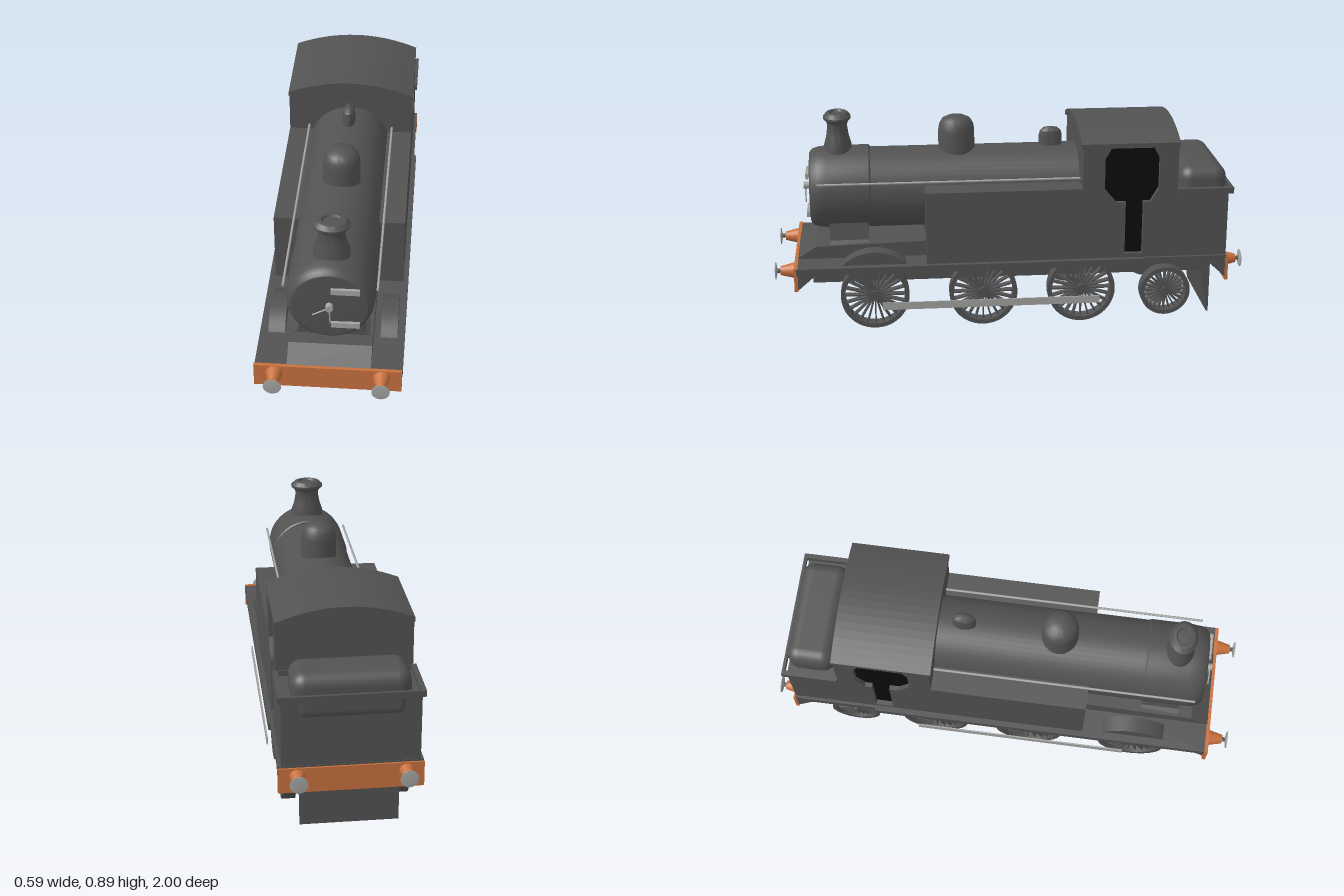
import * as THREE from 'three';
import { toCreasedNormals } from 'three/addons/utils/BufferGeometryUtils.js';
import { RoundedBoxGeometry } from 'three/addons/geometries/RoundedBoxGeometry.js';

const flat = (name, color) => Object.assign(new THREE.MeshStandardMaterial({ color }), { name });
const charcoal = flat('charcoal', 0x525252);
const black = flat('black', 0x0c0c0c);
const orange = flat('orange', 0xc8703e);
const steel = flat('steel', 0xa4a4a2);

export function createModel() {
  const model = new THREE.Group();
  model.name = 'tankLocomotive';
  const body = new THREE.Group();
  body.name = 'body';
  body.position.x = 0.003;
  model.add(body);

  const add = (name, geo, mat = charcoal, parent = body) => {
    const mesh = new THREE.Mesh(geo, mat);
    mesh.name = name;
    parent.add(mesh);
    return mesh;
  };
  // Box given by its limits on each axis
  const box = (name, [x0, x1], [y0, y1], [z0, z1], mat, parent) => {
    const m = add(name, new THREE.BoxGeometry(x1 - x0, y1 - y0, z1 - z0), mat, parent);
    m.position.set((x0 + x1) / 2, (y0 + y1) / 2, (z0 + z1) / 2);
    return m;
  };
  const toShape = pts => new THREE.Shape(pts.map(p => new THREE.Vector2(...p)));
  const extrude = (shape, depth) =>
    new THREE.ExtrudeGeometry(shape, { depth, bevelEnabled: false, curveSegments: 20 });
  // Profile in (z, y), extruded from x0 to x1
  const sidePlate = (name, shape, x0, x1, mat) =>
    add(name, extrude(shape, x1 - x0).rotateY(-Math.PI / 2).translate(x1, 0, 0), mat);
  // Profile in (x, y), extruded from z0 to z1
  const frontPlate = (name, shape, z0, z1, mat) =>
    add(name, extrude(shape, z1 - z0).translate(0, 0, z0), mat);
  const lathe = (pts, segments = 40) =>
    toCreasedNormals(new THREE.LatheGeometry(pts.map(p => new THREE.Vector2(...p)), segments), 0.6);

  // Chassis
  box('footplate', [-0.295, 0.292], [0.262, 0.292], [-0.56, 0.905]);
  box('rearFootplate', [-0.283, 0.283], [0.262, 0.292], [-0.92, -0.56]);
  box('frame', [-0.185, 0.185], [0.19, 0.262], [-0.86, 0.84]);
  box('frontStay', [-0.11, 0.11], [0.183, 0.195], [0.8, 0.9]);
  box('frontBufferBeam', [-0.298, 0.29], [0.192, 0.295], [0.9, 0.915], orange);
  box('rearBufferBeam', [-0.285, 0.285], [0.18, 0.285], [-0.928, -0.915], orange);
  sidePlate('rearGuard', toShape([[-0.82, 0.262], [-0.862, 0], [-0.87, 0], [-0.87, 0.262]]), -0.197, 0.197);
  for (const s of [-1, 1]) {
    const x = s * 0.278;
    sidePlate('frontGusset', toShape([[0.9, 0.195], [0.9, 0.265], [0.82, 0.265]]), x - 0.005, x + 0.005);
    sidePlate('rearGusset', toShape([[-0.915, 0.195], [-0.84, 0.265], [-0.915, 0.265]]), x - 0.005, x + 0.005);
  }

  // Buffers at both ends
  for (const end of [-1, 1]) for (const s of [-1, 1]) {
    const buffer = new THREE.Group();
    buffer.name = end > 0 ? 'frontBuffer' : 'rearBuffer';
    buffer.position.set(s * 0.213, end > 0 ? 0.26 : 0.25, end * 0.912);
    if (end < 0) buffer.rotation.y = Math.PI;
    model.add(buffer);
    add('bufferHousing', new THREE.CylinderGeometry(0.019, 0.034, 0.06, 24).rotateX(Math.PI / 2).translate(0, 0, 0.032), orange, buffer);
    add('bufferShank', new THREE.CylinderGeometry(0.009, 0.009, 0.03, 16).rotateX(Math.PI / 2).translate(0, 0, 0.07), charcoal, buffer);
    add('bufferHead', lathe([[0, 0.076], [0.012, 0.076], [0.036, 0.081], [0.036, 0.084], [0, 0.088]], 28).rotateX(Math.PI / 2), steel, buffer);
  }

  // Wheels, axles and coupling rods
  const wheelGeometries = r => {
    const tyre = lathe([[r - 0.018, -0.027], [r, -0.027], [r, 0.027], [r - 0.018, 0.027], [r - 0.018, -0.027]], 48).rotateZ(Math.PI / 2);
    const spoke = new THREE.BoxGeometry(0.03, r - 0.025, 0.006).translate(0, r / 2, 0);
    const hub = new THREE.CylinderGeometry(r * 0.15, r * 0.15, 0.05, 20).rotateZ(Math.PI / 2);
    return { tyre, spoke, hub };
  };
  const wheel = (x, y, z, r) => {
    const g = wheelGeometries(r);
    const group = new THREE.Group();
    group.name = 'wheel';
    group.position.set(x, y, z);
    body.add(group);
    add('tyre', g.tyre, charcoal, group);
    add('hub', g.hub, charcoal, group);
    for (let i = 0; i < 24; i++) add('spoke', g.spoke, charcoal, group).rotation.x = i * Math.PI / 12;
  };
  for (const [z, y, r, axle] of [[0.58, 0.147, 0.145, 0.018], [0.12, 0.147, 0.145, 0.018], [-0.3, 0.147, 0.145, 0.018], [-0.665, 0.125, 0.108, 0.013]]) {
    for (const s of [-1, 1]) wheel(s * 0.228, y, z, r);
    add('axle', new THREE.CylinderGeometry(axle, axle, 0.515, 20).rotateZ(Math.PI / 2)).position.set(0, y + 0.005, z);
  }
  for (const s of [-1, 1])
    box('couplingRod', [s * 0.284 - 0.003, s * 0.284 + 0.003], [0.095, 0.127], [-0.375, 0.55], steel);

  // Front splashers
  const half = Math.acos((0.292 - 0.155) / 0.192);
  const arch = new THREE.Shape();
  arch.absarc(0.58, 0.155, 0.192, Math.PI / 2 - half, Math.PI / 2 + half);
  for (const s of [-1, 1]) sidePlate('splasher', arch, s * 0.228 - 0.034, s * 0.228 + 0.034);

  // Sloped platform and smokebox saddle
  sidePlate('platform', toShape([[0.36, 0.28], [0.905, 0.28], [0.905, 0.293], [0.825, 0.345], [0.36, 0.358]]), -0.167, 0.167);
  frontPlate('saddle', toShape([[-0.165, 0.34], [0.165, 0.34], [0.135, 0.36], [0.115, 0.45], [-0.115, 0.45], [-0.135, 0.36]]), 0.6, 0.765);

  // Boiler and smokebox
  add('boiler', new THREE.CylinderGeometry(0.172, 0.172, 0.9, 48).rotateX(Math.PI / 2)).position.set(0, 0.554, 0.14);
  add('smokebox', lathe([[0, 0.585], [0.17, 0.585], [0.176, 0.592], [0.176, 0.77], [0.172, 0.805], [0.163, 0.832], [0.15, 0.843], [0, 0.85]], 48).rotateX(Math.PI / 2)).position.y = 0.56;

  // Door hinges, knob and handles
  for (const y of [0.475, 0.642]) box('doorHinge', [0.006, 0.118], [y - 0.012, y + 0.012], [0.845, 0.858], steel);
  add('doorKnob', new THREE.CylinderGeometry(0.015, 0.015, 0.025, 20).rotateX(Math.PI / 2), steel).position.set(0, 0.568, 0.86);
  for (const [dx, dy] of [[-0.065, -0.037], [0.004, -0.075]]) {
    const path = new THREE.LineCurve3(new THREE.Vector3(0, 0.568, 0.865), new THREE.Vector3(dx, 0.568 + dy, 0.865));
    add('doorHandle', new THREE.TubeGeometry(path, 1, 0.003, 8), steel);
  }

  // Chimney, dome and safety valve cover
  const chimney = add('chimney', lathe([[0.074, 0.68], [0.072, 0.75], [0.06, 0.785], [0.052, 0.83], [0.056, 0.848], [0.072, 0.862], [0.073, 0.872], [0.056, 0.888], [0.04, 0.89], [0.034, 0.882], [0, 0.882]]));
  chimney.position.z = 0.72;
  chimney.scale.z = 0.8;
  add('steamDome', lathe([[0.078, 0.66], [0.077, 0.8], [0.073, 0.826], [0.06, 0.848], [0.035, 0.86], [0, 0.864]])).position.z = 0.215;
  const valve = add('safetyValveCover', lathe([[0.05, 0.69], [0.05, 0.765], [0.045, 0.785], [0.03, 0.798], [0, 0.803]]));
  valve.position.z = -0.19;
  valve.scale.x = 0.55;

  // Handrails and side tanks
  for (const s of [-1, 1]) {
    add('handrail', new THREE.CylinderGeometry(0.005, 0.005, 1.11, 10).rotateX(Math.PI / 2), steel).position.set(s * 0.184, 0.624, 0.255);
    box('sideTank', s > 0 ? [0.16, 0.271] : [-0.271, -0.16], [0.285, 0.603], [-0.3, 0.36]);
  }

  // Cab sides with a combined window and doorway
  const opening = [[-0.39, 0.73], [-0.42, 0.785], [-0.59, 0.785], [-0.62, 0.73], [-0.62, 0.6], [-0.585, 0.54],
    [-0.555, 0.54], [-0.555, 0.31], [-0.48, 0.31], [-0.48, 0.54], [-0.44, 0.54], [-0.39, 0.6]];
  const side = toShape([[-0.698, 0.285], [-0.3, 0.285], [-0.3, 0.797], [-0.698, 0.797]]);
  side.holes.push(toShape(opening));
  for (const s of [-1, 1]) sidePlate('cabSide', side, s * 0.261 - 0.01, s * 0.261 + 0.01);
  box('cabInterior', [-0.245, 0.245], [0.295, 0.79], [-0.682, -0.318], black);

  // Cab end walls and arched roof
  const roofLine = (w, drop) => Array.from({ length: 17 }, (_, i) => {
    const t = 1 - i / 8;
    return [t * w, 0.853 - drop - 0.056 * t * t];
  });
  const endWall = toShape([[-0.27, 0.285], [0.27, 0.285], ...roofLine(0.27, 0.006)]);
  frontPlate('cabFront', endWall, -0.318, -0.298);
  frontPlate('cabBack', endWall, -0.7, -0.682);
  frontPlate('cabRoof', toShape([...roofLine(0.273, 0), ...roofLine(0.273, 0.02).reverse()]), -0.705, -0.29);

  // Bunker with raised rim and heaped load
  box('bunker', [-0.271, 0.271], [0.285, 0.572], [-0.918, -0.69]);
  const rim = toShape([[-0.283, 0.7], [0.283, 0.7], [0.283, 0.938], [-0.283, 0.938]]);
  rim.holes.push(toShape([[-0.262, 0.705], [0.262, 0.705], [0.262, 0.926], [-0.262, 0.926]]));
  add('bunkerRim', extrude(rim, 0.025).rotateX(-Math.PI / 2).translate(0, 0.57, 0));
  add('bunkerLoad', new RoundedBoxGeometry(0.465, 0.2, 0.205, 5, 0.055)).position.set(-0.003, 0.569, -0.822);

  return model;
}
